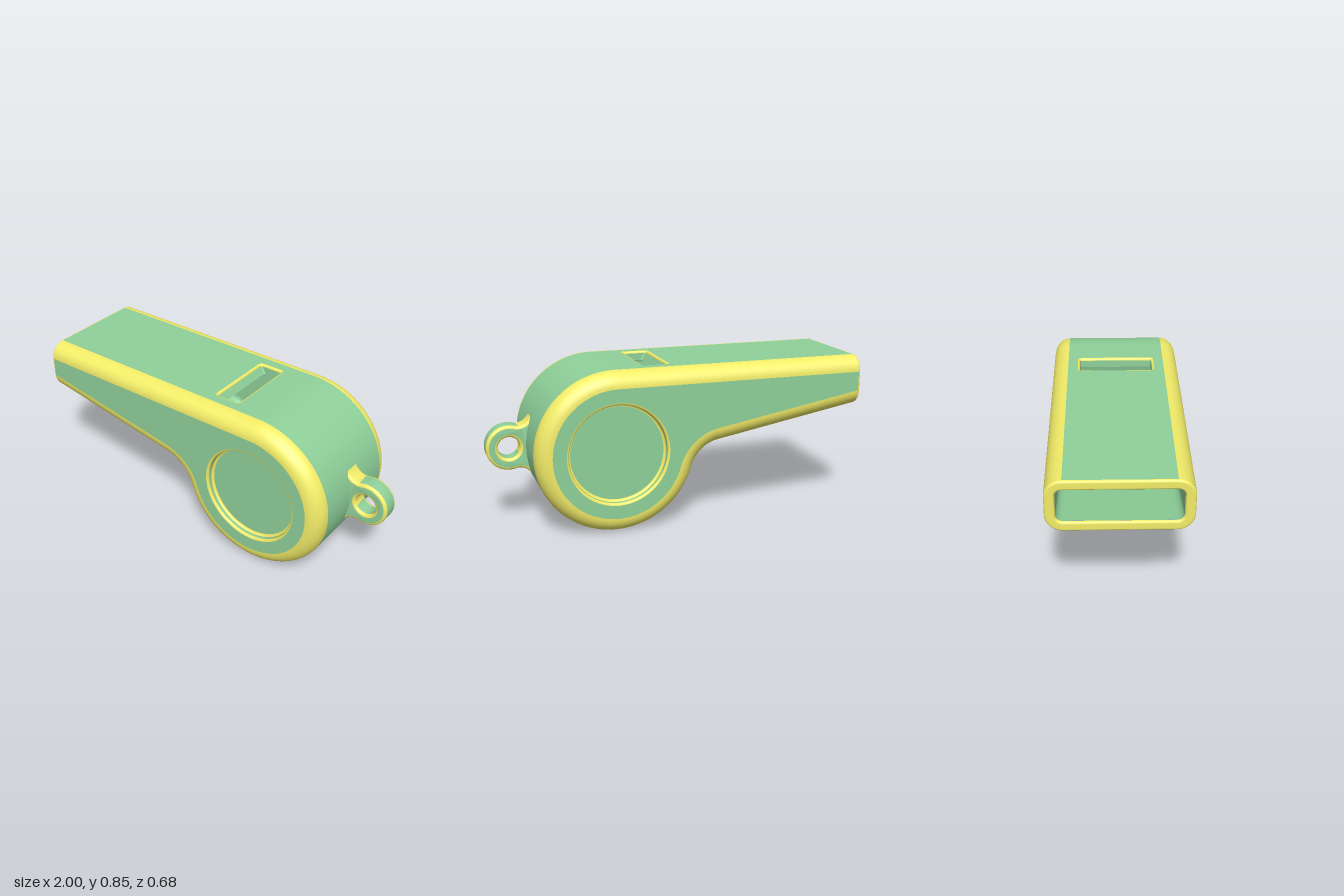
import * as THREE from 'three';
import { toCreasedNormals } from 'three/addons/utils/BufferGeometryUtils.js';

const V2 = THREE.Vector2, V3 = THREE.Vector3;
const W = 0.34, BEVEL = 0.083, WALL = 0.05, RIM = 0.012; // half width, edge radius, wall, small rims
const CX = 0.365, CY = 0.427, R = 0.427;                 // round chamber
const MOUTH = -1 + RIM, SLOPE = Math.PI / 18, FILLET = 0.184;

// Side outline as points with outward normal angles, clockwise from the mouth's top edge
function makeOutline() {
  const s = [{ x: MOUTH, y: CY + R, a: Math.PI / 2 }];
  const sin = Math.sin(SLOPE), cos = Math.cos(SLOPE);
  const along = (CX + 1) * cos - (CY - 0.585) * sin;
  const above = (CX + 1) * sin + (CY - 0.585) * cos;
  const t = along - Math.sqrt((R + FILLET) ** 2 - (above + FILLET) ** 2);
  const fx = -1 + t * cos - FILLET * sin, fy = 0.585 - t * sin - FILLET * cos;
  const join = Math.atan2(fy - CY, fx - CX), end = -Math.PI / 2 - SLOPE;
  for (let i = 0; i <= 64; i++) {
    const a = Math.PI / 2 + (join - Math.PI / 2) * i / 64;
    s.push({ x: CX + R * Math.cos(a), y: CY + R * Math.sin(a), a });
  }
  for (let i = 1; i <= 16; i++) {
    const a = join + (end - join) * i / 16;
    s.push({ x: fx - FILLET * Math.cos(a), y: fy - FILLET * Math.sin(a), a });
  }
  s.push({ x: MOUTH, y: 0.585 - RIM * Math.tan(SLOPE), a: end, last: true });
  return s;
}
const outline = makeOutline();
const insetPoint = (s, d) => s.last
  ? new V2(s.x, s.y + d / Math.cos(SLOPE))
  : new V2(s.x - Math.cos(s.a) * d, s.y - Math.sin(s.a) * d);

// Surface through rows of points; it faces (row step) x (column step)
function grid(rows) {
  const n = rows[0].length, index = [];
  for (let i = 0; i < rows.length - 1; i++)
    for (let j = 0; j < n - 1; j++) {
      const a = i * n + j, b = a + n;
      index.push(a, b, a + 1, b, b + 1, a + 1);
    }
  const g = new THREE.BufferGeometry().setFromPoints(rows.flat());
  g.setIndex(index);
  g.computeVertexNormals();
  return g;
}

function reverse(g) {
  const ix = g.index.array;
  for (let i = 0; i < ix.length; i += 3) [ix[i], ix[i + 1]] = [ix[i + 1], ix[i]];
  return g;
}
const mirrorZ = g => reverse(g.clone().scale(1, 1, -1));

// Counter-clockwise closed rounded rectangle
function roundRect(a0, a1, b0, b1, r) {
  const pts = [];
  [[a1 - r, b1 - r], [a0 + r, b1 - r], [a0 + r, b0 + r], [a1 - r, b0 + r]].forEach(([a, b], k) => {
    for (let i = 0; i <= 8; i++) {
      const t = (k + i / 8) * Math.PI / 2;
      pts.push(new V2(a + r * Math.cos(t), b + r * Math.sin(t)));
    }
  });
  pts.push(pts[0].clone());
  return pts;
}

function flat(points, hole) {
  const shape = new THREE.Shape(points);
  if (hole) shape.holes.push(new THREE.Path(hole));
  return new THREE.ShapeGeometry(shape);
}

// Quarter-round steps: [distance inward, distance along]
const quarter = (r, n) => Array.from({ length: n + 1 }, (_, i) => {
  const t = i / n * Math.PI / 2;
  return [r * (1 - Math.cos(t)), r * Math.sin(t)];
});

// Pieces of the skin inset by d: rounded edges, wrapped middle band and side faces
function skin(d, sideHole) {
  const w = W - d, r = BEVEL - d;
  const strip = (samples, cols) => grid(samples.map(s => cols.map(([i, z]) => {
    const p = insetPoint(s, d + i);
    return new V3(p.x, p.y, z);
  })));
  const edge = strip(outline, quarter(r, 10).map(([i, z]) => [i, w - r + z]).reverse());
  const band = strip(outline.slice(1), [[0, w - r], [0, r - w]]);
  const side = flat(outline.map(s => insetPoint(s, d + r)), sideHole).translate(0, 0, w);
  return { edge, band, side };
}

// Flat top between mouth and chamber, with the slot opening cut out
const topFace = hole => flat(
  [[MOUTH, -1], [CX, -1], [CX, 1], [MOUTH, 1]].map(([x, s]) => new V2(x, s * (W - BEVEL))),
  hole.slice(0, -1));

function keepFaces(g, test) {
  const p = g.attributes.position, n = g.attributes.normal, pos = [], nor = [];
  const a = new V3(), b = new V3(), c = new V3();
  for (let i = 0; i < p.count; i += 3) {
    a.fromBufferAttribute(p, i); b.fromBufferAttribute(p, i + 1); c.fromBufferAttribute(p, i + 2);
    const x = (a.x + b.x + c.x) / 3;
    const nz = Math.abs(b.clone().sub(a).cross(c.clone().sub(a)).normalize().z);
    if (!test(nz, x)) continue;
    for (let k = i; k < i + 3; k++) {
      pos.push(p.getX(k), p.getY(k), p.getZ(k));
      nor.push(n.getX(k), n.getY(k), n.getZ(k));
    }
  }
  const out = new THREE.BufferGeometry();
  out.setAttribute('position', new THREE.Float32BufferAttribute(pos, 3));
  out.setAttribute('normal', new THREE.Float32BufferAttribute(nor, 3));
  return out;
}

export function createModel() {
  const model = new THREE.Group();
  model.name = 'whistle';
  const green = new THREE.MeshStandardMaterial({ color: 0x8fd19a });
  const yellow = new THREE.MeshStandardMaterial({ color: 0xf2ec68 });
  const add = (name, g, mat) => {
    const m = new THREE.Mesh(g, mat);
    m.name = name;
    model.add(m);
  };
  const addPair = (name, g, mat) => {
    add(name + 'Front', g, mat);
    add(name + 'Back', mirrorZ(g), mat);
  };

  // Outer body
  const recessR = 0.26;
  const circle = Array.from({ length: 64 }, (_, i) => new V2(
    CX + (recessR + RIM) * Math.sin(i / 32 * Math.PI), CY + (recessR + RIM) * Math.cos(i / 32 * Math.PI)));
  const outer = skin(0, circle);
  addPair('roundedEdge', outer.edge, yellow);
  addPair('sideFace', outer.side, green);
  add('bodyBand', outer.band, green);

  // Hollow inside
  const inner = skin(WALL);
  addPair('cavityEdge', reverse(inner.edge), green);
  addPair('cavitySide', reverse(inner.side), green);
  add('cavityBand', reverse(inner.band), green);

  // Air slot in the top, its mouth-side wall slanted
  const top = CY + R;
  const slotLoop = (i, y, slant = 0) => roundRect(0.05 + i + slant, 0.205 - i, -0.205 + i, 0.205 - i, 0.022 - i)
    .map(p => new V3(p.x, y, p.y));
  const to2 = loop => loop.map(p => new V2(p.x, p.z));
  const slotLow = slotLoop(RIM, top - WALL, 0.023);
  add('topFace', topFace(to2(slotLoop(0, top))).rotateX(-Math.PI / 2).translate(0, top, 0), green);
  add('cavityCeiling', topFace(to2(slotLow)).rotateX(Math.PI / 2).translate(0, top - WALL, 0), green);
  const rimSteps = quarter(RIM, 5);
  add('slotRim', grid(rimSteps.map(([u, v]) => slotLoop(v, top - u))), yellow);
  add('slotWall', grid([slotLoop(RIM, top - RIM), slotLow]), green);

  // Mouth rim, rounded outside and inside
  const y0 = outline[outline.length - 1].y;
  const mouthLoop = (i, x) => roundRect(y0 + i, top - i, i - W, W - i, BEVEL - i).map(p => new V3(x, p.x, p.y));
  add('mouthRim', grid([
    ...rimSteps.map(([i, x]) => mouthLoop(i, MOUTH - x)),
    ...rimSteps.map(([i, x]) => mouthLoop(WALL - i, MOUTH - x)).reverse(),
  ]), yellow);

  // Round recess in each side
  const floorZ = W - 0.04;
  const turned = pts => new THREE.LatheGeometry(pts, 64).rotateX(Math.PI / 2).translate(CX, CY, 0);
  const lip = rimSteps.map(([u, v]) => new V2(recessR + RIM - v, W - u));
  const foot = rimSteps.map(([u, v]) => new V2(recessR - u, floorZ + RIM - v));
  addPair('recessRim', turned(lip), yellow);
  addPair('recessWall', turned([new V2(recessR, W - RIM), new V2(recessR, floorZ + RIM)]), green);
  addPair('recessFoot', turned(foot), yellow);
  addPair('recessFloor', turned([new V2(recessR - RIM, floorZ), new V2(0, floorZ)]), green);

  // Cord loop with a flared root
  const lx = 0.88, ly = 0.43, lr = 0.12, cut = 1.85;
  const tag = new THREE.Shape();
  const ex = lx + lr * Math.cos(cut), ey = lr * Math.sin(cut);
  tag.moveTo(0.745, ly - 0.185);
  tag.quadraticCurveTo(0.785, ly - 0.1, ex, ly - ey);
  tag.absarc(lx, ly, lr, -cut, cut, false);
  tag.quadraticCurveTo(0.785, ly + 0.1, 0.745, ly + 0.185);
  tag.closePath();
  const eye = new THREE.Path();
  eye.absarc(lx, ly, 0.058, 0, Math.PI * 2, true);
  tag.holes.push(eye);
  const b = 0.015;
  const loop = toCreasedNormals(new THREE.ExtrudeGeometry(tag, {
    depth: 0.1 - 2 * b, bevelThickness: b, bevelSize: b, bevelOffset: -b, bevelSegments: 4, curveSegments: 32,
  }).translate(0, 0, b - 0.05), 0.6);
  const isEdge = (nz, x) => (nz > 0.02 && nz < 0.995) || (nz <= 0.02 && x < 0.83 && x > 0.75);
  add('cordLoop', keepFaces(loop, (nz, x) => !isEdge(nz, x)), green);
  add('cordLoopEdges', keepFaces(loop, isEdge), yellow);

  return model;
}
